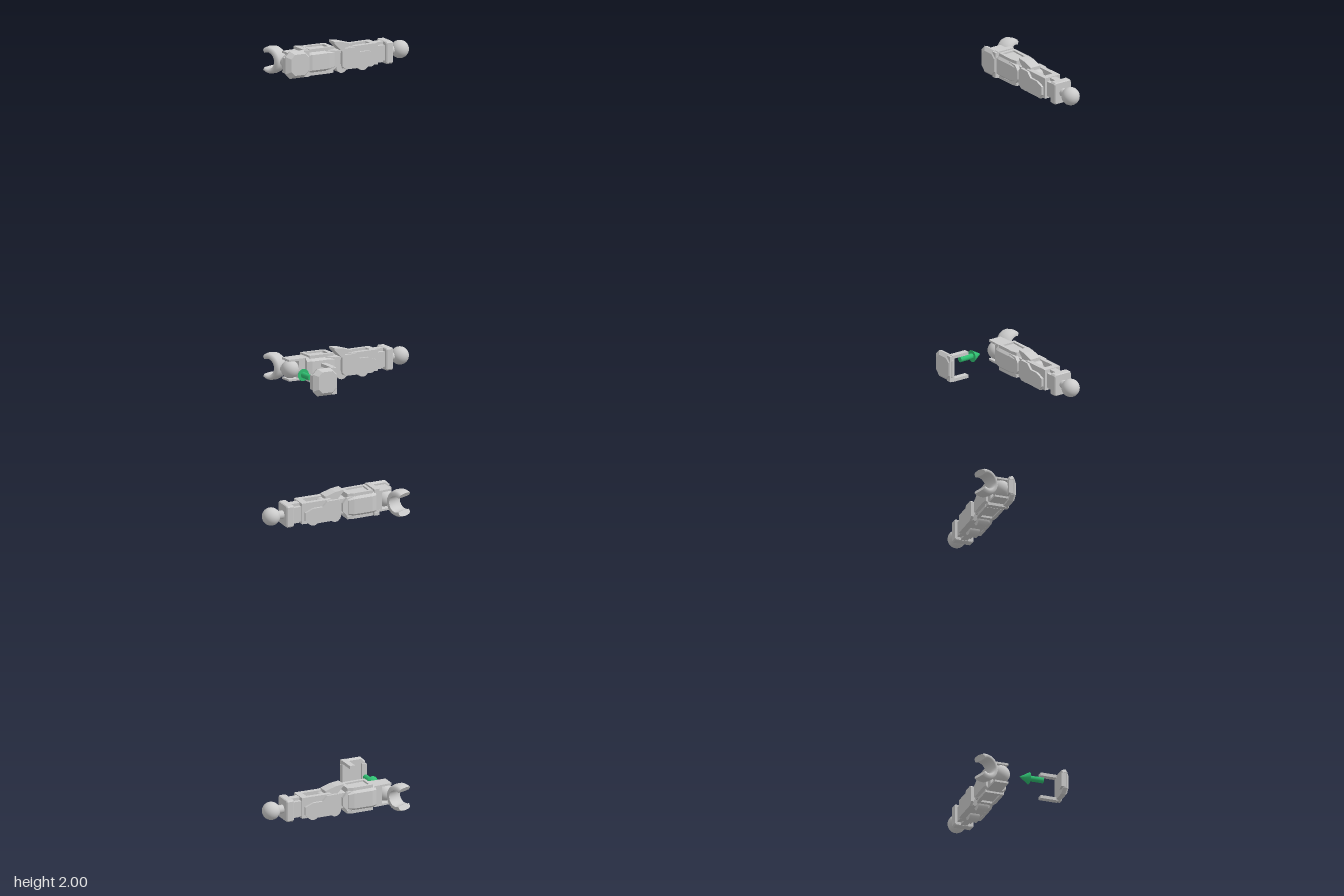
import * as THREE from 'three';

const grey = new THREE.MeshStandardMaterial({ color: 0xcccccc, side: THREE.DoubleSide });
const green = new THREE.MeshStandardMaterial({ color: 0x2fbf71 });

function add(parent, name, geo, mat = grey) {
  const mesh = new THREE.Mesh(geo, mat);
  mesh.name = name;
  parent.add(mesh);
  return mesh;
}

// Box from its limits; z runs down the arm from the shoulder ball.
function box(p, name, x0, x1, y0, y1, z0, z1) {
  const g = new THREE.BoxGeometry(x1 - x0, y1 - y0, z1 - z0);
  g.translate((x0 + x1) / 2, (y0 + y1) / 2, (z0 + z1) / 2);
  return add(p, name, g);
}

// Side outline of [z, y] points, extruded across x.
function prism(p, name, pts, x0, x1) {
  const shape = new THREE.Shape(pts.map(([z, y]) => new THREE.Vector2(z, y)));
  const g = new THREE.ExtrudeGeometry(shape, { depth: x1 - x0, bevelEnabled: false });
  g.rotateY(-Math.PI / 2).translate(x1, 0, 0);
  return add(p, name, g);
}

// Flat-shaded skin through octagons [position, half a, half b, corner cut, centre b].
function loft(p, name, sections, alongX = false) {
  const rings = sections.map(([c, w, h, k, cb = 0]) => [
    [w, -h + k], [w, h - k], [w - k, h], [-w + k, h],
    [-w, h - k], [-w, -h + k], [-w + k, -h], [w - k, -h],
  ].map(([a, b]) => (alongX ? [c, a, b + cb] : [a, b + cb, c])));
  const pos = [];
  const tri = (...v) => v.forEach((q) => pos.push(...q));
  for (let r = 0; r < rings.length - 1; r++) {
    for (let i = 0; i < 8; i++) {
      const j = (i + 1) % 8, A = rings[r], B = rings[r + 1];
      tri(A[i], A[j], B[j]);
      tri(A[i], B[j], B[i]);
    }
  }
  const first = rings[0], last = rings[rings.length - 1];
  for (let i = 1; i < 7; i++) {
    tri(first[0], first[i + 1], first[i]);
    tri(last[0], last[i], last[i + 1]);
  }
  const g = new THREE.BufferGeometry();
  g.setAttribute('position', new THREE.Float32BufferAttribute(pos, 3));
  g.computeVertexNormals();
  return add(p, name, g);
}

function ball(p, name, r, z) {
  add(p, name, new THREE.SphereGeometry(r, 32, 20)).position.z = z;
}

function roller(p, name, r, width, y, z) {
  const g = new THREE.CylinderGeometry(r, r, width, 20).rotateZ(Math.PI / 2);
  add(p, name, g).position.set(0.003, y, z);
}

function upperArm(arm) {
  const g = new THREE.Group();
  g.name = 'upperArm';
  ball(g, 'shoulderBall', 0.053, 0);
  add(g, 'shoulderStem', new THREE.CylinderGeometry(0.025, 0.025, 0.06, 20).rotateX(Math.PI / 2)).position.z = 0.06;
  loft(g, 'shoulderBar', [[0.074, 0.055, 0.062, 0.008], [0.08, 0.059, 0.066, 0.008],
    [0.115, 0.059, 0.066, 0.008], [0.121, 0.055, 0.062, 0.008]]);
  box(g, 'neck', -0.042, 0.042, -0.045, 0.045, 0.115, 0.19);
  box(g, 'neckRib', -0.02, 0.02, -0.06, 0.062, 0.115, 0.19);
  // Open channel formed by an end block, floor and two walls
  box(g, 'endBlock', -0.052, 0.055, -0.06, 0.066, 0.174, 0.212);
  box(g, 'channelFloor', -0.05, 0.05, -0.062, 0.0, 0.2, 0.4);
  for (const s of [-1, 1]) {
    const a = s < 0 ? -0.052 : 0.026, b = s < 0 ? -0.026 : 0.055;
    prism(g, 'channelWall', [[0.2, -0.06], [0.4, -0.06], [0.41, -0.03], [0.41, 0.03], [0.36, 0.064], [0.2, 0.066]], a, b);
    // Slanted outer armour
    prism(g, 'sidePlate', [[0.19, -0.04], [0.215, -0.064], [0.39, -0.064], [0.414, -0.045],
      [0.414, 0.045], [0.395, 0.06], [0.33, 0.06], [0.3, 0.03], [0.24, 0.03], [0.19, 0.01]],
    s < 0 ? -0.066 : 0.05, s < 0 ? -0.05 : 0.068);
  }
  roller(g, 'channelRoller', 0.03, 0.052, 0.028, 0.326);
  prism(g, 'elbowFlap', [[0.335, 0.035], [0.41, 0.045], [0.452, 0.09], [0.452, 0.1], [0.4, 0.094], [0.335, 0.075]], -0.028, 0.04);
  box(g, 'elbowTongue', -0.028, 0.034, -0.045, 0.045, 0.36, 0.48);
  roller(g, 'lowerRoller', 0.036, 0.06, -0.054, 0.26);
  roller(g, 'lowerRoller', 0.036, 0.06, -0.054, 0.4);
  arm.add(g);
}

function foreArm(arm) {
  const g = new THREE.Group();
  g.name = 'foreArm';
  loft(g, 'foreArmShell', [[0.465, 0.062, 0.06, 0.02], [0.5, 0.068, 0.068, 0.022],
    [0.615, 0.07, 0.068, 0.022], [0.645, 0.062, 0.064, 0.018]]);
  for (const s of [-1, 1]) {
    prism(g, 'elbowCheek', [[0.435, -0.025], [0.46, -0.055], [0.52, -0.06], [0.52, 0.06], [0.46, 0.055], [0.435, 0.025]],
      s < 0 ? -0.056 : 0.038, s < 0 ? -0.036 : 0.06);
    // Raised frame around the recessed panel
    const frame = new THREE.Shape([[-0.048, 0.465], [0.048, 0.465], [0.056, 0.5], [0.056, 0.625], [-0.056, 0.625], [-0.056, 0.5]]
      .map(([x, z]) => new THREE.Vector2(x, z)));
    frame.holes.push(new THREE.Path([[-0.034, 0.49], [-0.038, 0.608], [0.038, 0.608], [0.034, 0.49]]
      .map(([x, z]) => new THREE.Vector2(x, z))));
    const geo = new THREE.ExtrudeGeometry(frame, { depth: 0.018, bevelEnabled: false });
    geo.rotateX(Math.PI / 2).translate(0, s > 0 ? 0.078 : -0.06, 0);
    add(g, 'panelFrame', geo);
    // Thin fork over and under the wrist ball
    const fork = new THREE.Shape([[-0.053, 0.635], [0.038, 0.635], [0.036, 0.75], [-0.046, 0.75]]
      .map(([x, z]) => new THREE.Vector2(x, z)));
    const forkGeo = new THREE.ExtrudeGeometry(fork, { depth: 0.012, bevelEnabled: false });
    forkGeo.rotateX(Math.PI / 2).translate(0, s > 0 ? 0.064 : -0.052, 0);
    add(g, 'wristFork', forkGeo);
  }
  box(g, 'wristSocket', -0.05, 0.038, -0.055, 0.055, 0.64, 0.685);
  ball(g, 'wristBall', 0.053, 0.723);
  arm.add(g);
}

// Open C-shaped grip with a barrel-shaped outside
function hand(parent) {
  const profile = [[0.049, -0.044], [0.068, -0.044], [0.077, -0.03], [0.081, 0],
    [0.077, 0.03], [0.068, 0.044], [0.049, 0.044], [0.046, 0], [0.049, -0.044]];
  const start = Math.PI / 2 - 2.1;
  const geo = new THREE.LatheGeometry(profile.map(([r, h]) => new THREE.Vector2(r, h)), 36, start, 4.2);
  geo.rotateX(Math.PI / 2);
  const g = new THREE.Group();
  g.name = 'hand';
  add(g, 'grip', geo);
  // Flat ends of the grip
  for (const a of [-2.1, 2.1]) {
    const end = new THREE.ShapeGeometry(new THREE.Shape(profile.map(([r, h]) => new THREE.Vector2(r, h))));
    end.rotateX(Math.PI / 2).rotateZ(a);
    add(g, 'gripEnd', end);
  }
  add(g, 'wristStem', new THREE.CylinderGeometry(0.024, 0.024, 0.05, 16).rotateZ(Math.PI / 2)).position.x = 0.09;
  g.position.set(-0.252, 0, 0.271);
  parent.add(g);
}

// Faceted side wall with upper and lower clasps
function cover(arm, offset) {
  const g = new THREE.Group();
  g.name = 'wristCover';
  loft(g, 'coverWall', [[0.038, 0.074, 0.07, 0.026, 0.708], [0.06, 0.081, 0.079, 0.03, 0.708],
    [0.079, 0.062, 0.058, 0.024, 0.7]], true);
  prism(g, 'coverLip', [[0.752, -0.05], [0.785, -0.042], [0.785, 0.042], [0.752, 0.05]], 0.026, 0.056);
  for (const s of [-1, 1]) {
    box(g, 'clasp', -0.058, 0.055, s > 0 ? 0.062 : -0.081, s > 0 ? 0.081 : -0.062, 0.634, 0.667);
  }
  box(g, 'coverSpine', 0.04, 0.072, -0.078, 0.078, 0.634, 0.667);
  g.position.x = offset;
  arm.add(g);
}

function arrow(arm) {
  const g = new THREE.Group();
  g.name = 'arrow';
  add(g, 'arrowHead', new THREE.ConeGeometry(0.036, 0.06, 24).rotateZ(Math.PI / 2), green).position.x = 0.141;
  add(g, 'arrowShaft', new THREE.CylinderGeometry(0.017, 0.017, 0.09, 20).rotateZ(Math.PI / 2), green).position.x = 0.213;
  g.position.z = 0.73;
  arm.add(g);
}

export function createModel() {
  const model = new THREE.Group();
  model.name = 'armAssembly';
  // Lower arm shows the cover pulled away; the upper one is assembled
  for (const [name, y, open] of [['openArm', 0.09, true], ['closedArm', 1.9, false]]) {
    const whole = new THREE.Group();
    whole.name = name;
    whole.position.y = y;
    const arm = new THREE.Group();
    arm.name = 'armBody';
    arm.position.set(0.126, 0, -0.411);
    arm.rotation.y = THREE.MathUtils.degToRad(-20);
    upperArm(arm);
    foreArm(arm);
    cover(arm, open ? 0.324 : 0);
    if (open) arrow(arm);
    whole.add(arm);
    hand(whole);
    model.add(whole);
  }
  return model;
}
